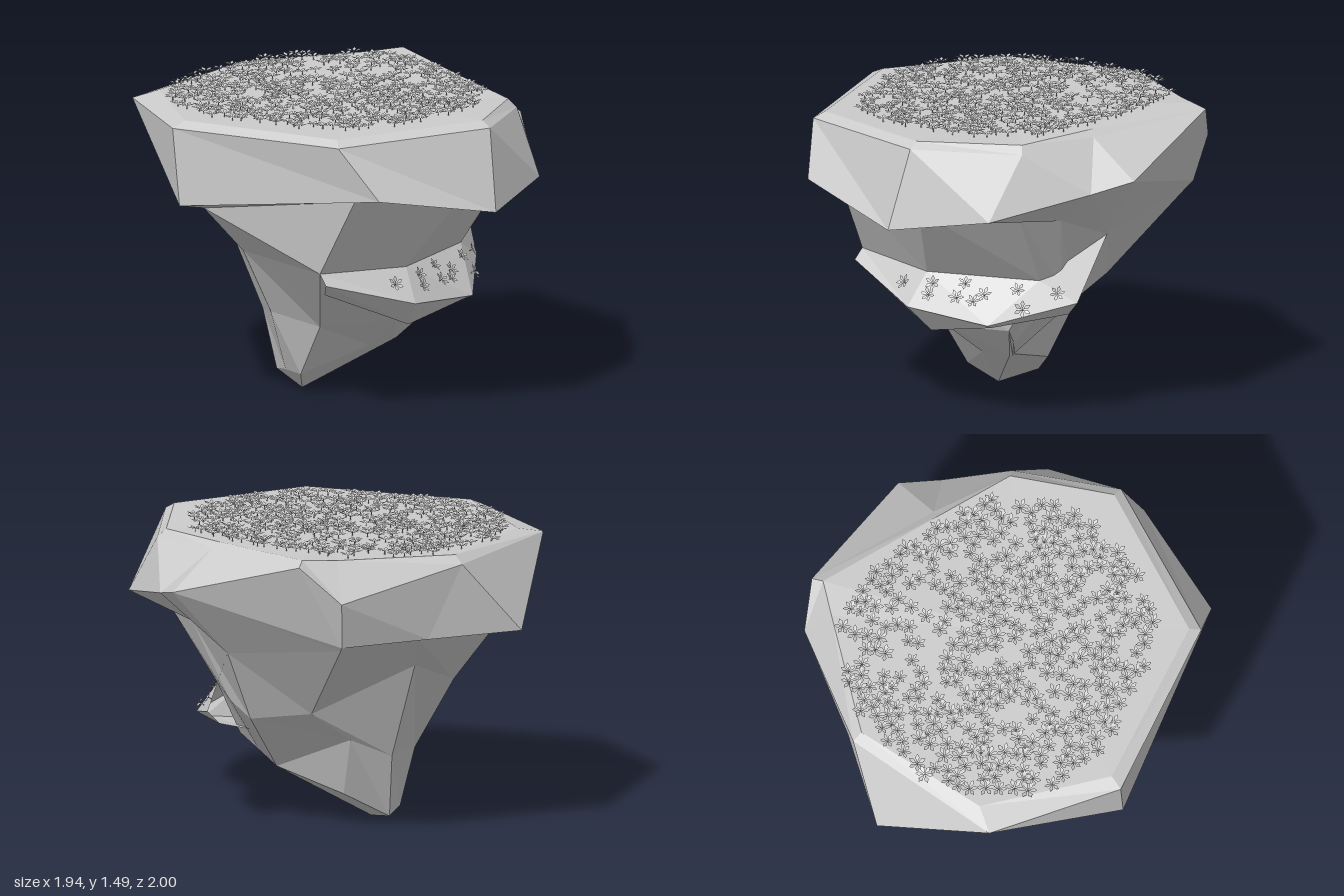
import * as THREE from 'three';
import { mergeGeometries } from 'three/addons/utils/BufferGeometryUtils.js';

const material = new THREE.MeshStandardMaterial({ color: 0xcccccc, flatShading: true, side: THREE.DoubleSide });

// Rock cross-sections, front-left corner first, running round to the right
const cap = [[-.52, 1.43, .72], [.24, 1.45, .84], [.62, 1.44, .5], [.66, 1.45, .1], [.72, 1.475, -.55],
  [.56, 1.46, -.62], [0, 1.44, -.86], [-.64, 1.43, -.63], [-.9, 1.43, -.03]];
const rim = [[-.55, 1.4, .77], [.25, 1.42, .89], [.65, 1.4, .53], [.7, 1.42, .1], [.77, 1.45, -.58],
  [.63, 1.27, -.73], [0, 1.4, -.91], [-.77, 1.4, -.67], [-.97, 1.4, -.03]];
const brow = [[-.42, 1.15, .93], [.21, 1.03, 1], [.64, 1.1, .74], [.87, 1.2, .28], [.97, 1.25, .09],
  [.58, 1.04, -.68], [.15, 1.04, -.83], [-.31, 1.04, -1], [-.95, 1.02, 0]];
const neck = [[-.42, 1.11, .72], [.18, 1.08, .77], [.62, 1.13, .54], [.66, 1.03, .28], [.69, .92, 0],
  [.57, 1.02, -.66], [.12, 1.02, -.73], [-.33, 1.01, -.78], [-.83, 1, .03]];
const waist = [[-.48, .72, .51], [0, .7, .54], [.5, .7, .27], [.53, .64, .15], [.5, .56, .04],
  [.4, .62, -.28], [-.02, .84, -.56], [-.29, .73, -.55], [-.58, .75, 0]];
const taper = [[-.27, .37, .2], [.02, .41, .42], [.32, .42, .3], [.27, .34, .22], [.21, .26, .16],
  [.17, .46, -.31], [-.04, .36, -.38], [-.25, .36, -.32], [-.4, .42, -.03]];
const foot = [[-.26, .1, .02], [.02, .24, .19], [.19, .25, .17], [.18, .24, .14], [.17, .23, .1],
  [.09, .16, -.18], [-.1, .04, -.3], [-.21, .07, -.26], [-.26, .1, -.11]];

// Joins rings from top to bottom, closing the ends on centre points where given
function loft(rings, topPoint, bottomPoint, closed = true) {
  const p = [];
  const tri = (...corners) => corners.forEach(c => p.push(...c));
  const n = rings[0].length;
  const last = rings[rings.length - 1];
  for (let i = 0; i < (closed ? n : n - 1); i++) {
    const j = (i + 1) % n;
    if (topPoint) tri(topPoint, rings[0][i], rings[0][j]);
    for (let r = 0; r < rings.length - 1; r++) {
      const u = rings[r], l = rings[r + 1];
      tri(u[i], l[i], l[j]);
      tri(u[i], l[j], u[j]);
    }
    if (bottomPoint) tri(last[i], bottomPoint, last[j]);
  }
  const g = new THREE.BufferGeometry();
  g.setAttribute('position', new THREE.Float32BufferAttribute(p, 3));
  g.computeVertexNormals();
  return g;
}

// Small plant: a thin stem under six flat, kite-shaped leaves that rise outwards
function plantGeometry() {
  const p = [];
  const leaves = 6, h = .016;
  const at = (angle, r, y) => [Math.cos(angle) * r, y, Math.sin(angle) * r];
  for (let k = 0; k < leaves; k++) {
    const a = k / leaves * Math.PI * 2;
    const base = at(a, .003, h), tip = at(a, .042, h + .01);
    const left = at(a - .36, .028, h + .006), right = at(a + .36, .028, h + .006);
    p.push(...base, ...right, ...tip, ...base, ...tip, ...left);
  }
  for (let k = 0; k < 3; k++) {
    const a = k * Math.PI * 2 / 3, b = a + Math.PI * 2 / 3;
    p.push(...at(a, .003, h), ...at(b, .003, h), ...at(a, .003, 0));
    p.push(...at(b, .003, h), ...at(b, .003, 0), ...at(a, .003, 0));
  }
  const g = new THREE.BufferGeometry();
  g.setAttribute('position', new THREE.Float32BufferAttribute(p, 3));
  g.computeVertexNormals();
  return g;
}

function seeded(seed) {
  return () => {
    seed = (seed * 1664525 + 1013904223) % 4294967296;
    return seed / 4294967296;
  };
}

export function createModel() {
  const group = new THREE.Group();
  const random = seeded(17);
  const add = (name, geometry) => {
    const mesh = new THREE.Mesh(geometry, material);
    mesh.name = name;
    group.add(mesh);
    return mesh;
  };

  // Broad upper slab and the tapering rock beneath it
  const slab = add('upperSlab', loft([cap, rim, brow, neck], [0, 1.44, 0]));
  add('lowerRock', loft([neck, waist, taper, foot], null, [-.17, 0, -.1]));

  // Sloping ledge on the front of the lower rock
  const ledge = add('frontLedge', loft([
    [[-.48, .72, .51], [0, .7, .54], [.5, .7, .27], [.69, .92, 0]],
    [[-.48, .67, .56], [-.02, .54, .65], [.4, .5, .52], [.66, .6, .17]],
    [[-.42, .6, .46], [.02, .41, .53], [.38, .48, .48], [.59, .53, .16]],
  ], null, [.15, .4, .15], false));

  // Plants stand on the surface along its normal
  const plant = plantGeometry();
  const caster = new THREE.Raycaster();
  const up = new THREE.Vector3(0, 1, 0);
  function plantOn(mesh, origin, direction) {
    caster.set(new THREE.Vector3(...origin), new THREE.Vector3(...direction));
    const hit = caster.intersectObject(mesh)[0];
    if (!hit) return null;
    const normal = hit.face.normal.clone();
    if (normal.y < 0) normal.negate();
    const turn = new THREE.Quaternion().setFromUnitVectors(up, normal)
      .multiply(new THREE.Quaternion().setFromAxisAngle(up, random() * Math.PI * 2));
    const size = .85 + random() * .25;
    return plant.clone().applyMatrix4(
      new THREE.Matrix4().compose(hit.point, turn, new THREE.Vector3(size, size, size)));
  }

  // Meadow scattered inside a rounded outline, keeping a small gap between plants
  const outline = new THREE.CatmullRomCurve3([[-.79, -.17], [-.58, -.6], [-.03, -.82], [.53, -.57],
    [.63, -.05], [.55, .42], [.2, .66], [-.33, .64], [-.66, .25]]
    .map(([x, z]) => new THREE.Vector3(x, 0, z)), true);
  const middle = new THREE.Vector3(-.05, 0, -.08);
  const spots = [];
  for (let t = 0; t < 6000 && spots.length < 380; t++) {
    const spot = outline.getPoint(random()).lerp(middle, 1 - Math.sqrt(random()));
    if (spots.every(s => s.distanceTo(spot) > .04)) spots.push(spot);
  }
  const meadow = spots.map(s => plantOn(slab, [s.x, 3, s.z], [0, -1, 0])).filter(Boolean);
  add('topPlants', mergeGeometries(meadow));

  // A few plants on the ledge
  const ledgeSpots = [[-.1, .63], [.06, .65], [.06, .6], [.2, .66], [.2, .6],
    [.31, .62], [.28, .59], [.44, .65], [.58, .64], [.49, .57]];
  const few = ledgeSpots.map(([x, y]) => plantOn(ledge, [x, y, 3], [0, 0, -1])).filter(Boolean);
  add('ledgePlants', mergeGeometries(few));

  return group;
}
